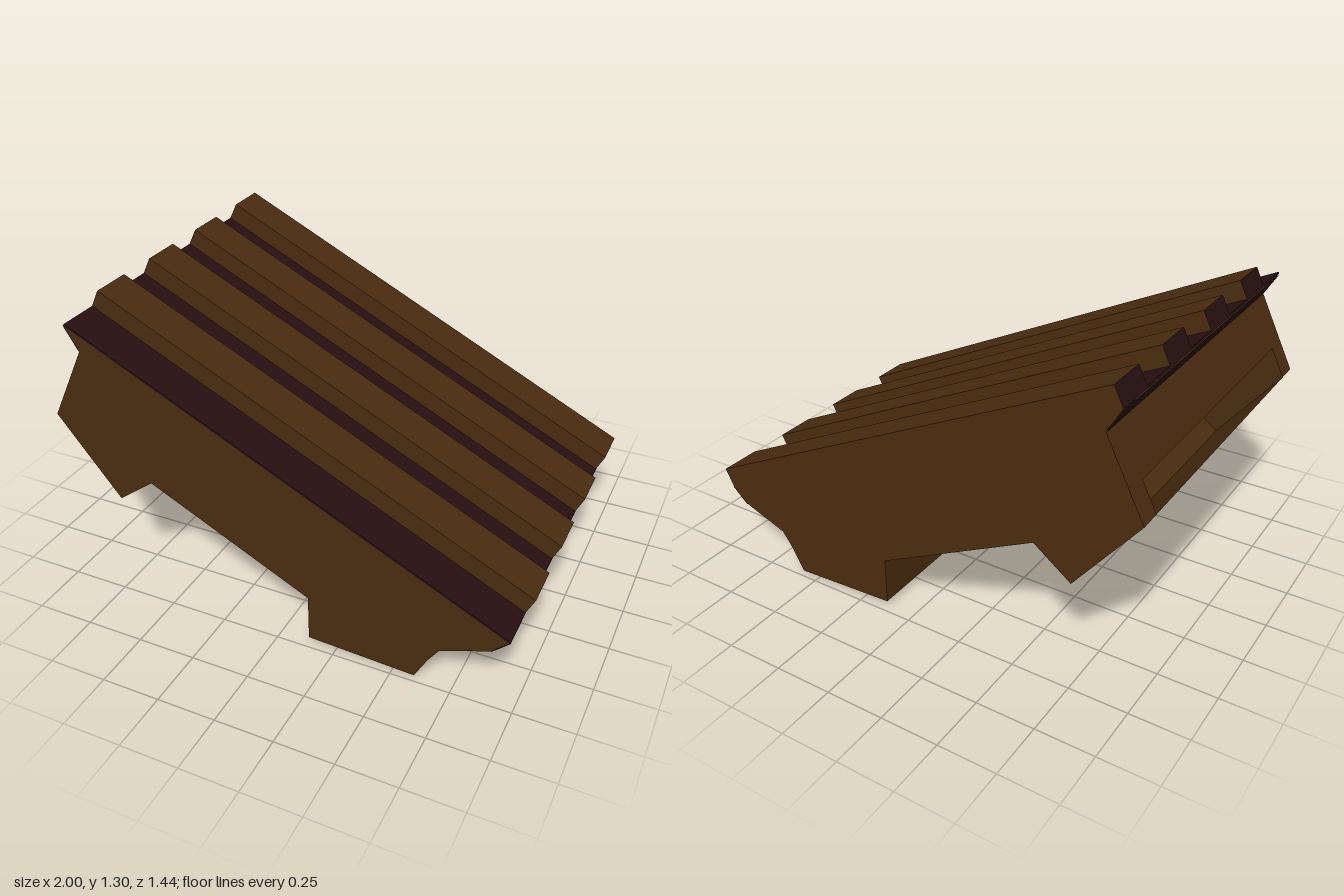
import * as THREE from 'three';

export function createModel() {
  const model = new THREE.Group();
  const brown = new THREE.MeshStandardMaterial({ color: 0x4a2c0f, side: THREE.DoubleSide });
  brown.name = 'brown wood';
  const dark = new THREE.MeshStandardMaterial({ color: 0x260f11, side: THREE.DoubleSide });
  dark.name = 'dark wood';

  const add = (name, geometry, material, parent = model) => {
    const mesh = new THREE.Mesh(geometry, material);
    mesh.name = name;
    parent.add(mesh);
    return mesh;
  };

  const half = 0.72, inner = 0.625;

  // Solid side boards, one at each end of the width
  const profile = [
    [-0.9, 1.22], [-0.84, 1.12], [-1, 0.8], [-0.73, 0.46], [-0.57, 0.58], [0.13, 0.23],
    [0.13, 0.025], [0.59, 0.002], [0.645, 0.105], [0.69, 0.17], [0.89, 0.245], [0.96, 0.31],
  ].map(([x, y]) => new THREE.Vector2(x, y));
  const boardGeometry = new THREE.ExtrudeGeometry(new THREE.Shape(profile), {
    depth: half - inner, bevelEnabled: false,
  });
  add('frontSideBoard', boardGeometry, brown).position.z = inner;
  add('backSideBoard', boardGeometry, brown).position.z = -half;

  // Thin cross panel spanning the width between two profile points
  const panel = (name, [x1, y1], [x2, y2], material, width = inner * 2) => {
    const mesh = add(name, new THREE.PlaneGeometry(Math.hypot(x2 - x1, y2 - y1), width), material);
    mesh.geometry.rotateX(-Math.PI / 2);
    mesh.position.set((x1 + x2) / 2, (y1 + y2) / 2, 0);
    mesh.rotation.z = Math.atan2(y2 - y1, x2 - x1);
  };

  // Panels leave open slots at both ends and under the slope
  panel('upperEndPanel', [-0.94, 0.92], [-0.84, 1.12], brown);
  panel('rearFootOuter', [-0.73, 0.46], [-1, 0.8], brown);
  panel('rearFootInner', [-0.73, 0.46], [-0.57, 0.58], brown);
  panel('footWall', [0.13, 0.23], [0.13, 0.025], brown);
  panel('footBase', [0.13, 0.025], [0.59, 0.002], brown);
  panel('footFront', [0.645, 0.105], [0.69, 0.17], brown);
  panel('lowerFrontPanel', [0.69, 0.17], [0.89, 0.245], brown);
  // Dark lips below both ends of the deck, just proud of the boards
  panel('upperLip', [-0.903, 1.218], [-0.843, 1.118], dark, half * 2);
  panel('lowerLip', [0.892, 0.243], [0.962, 0.308], dark, half * 2);

  // Sloping deck: raised brown slats alternating with thin dark planks
  const deck = new THREE.Group();
  deck.name = 'deck';
  deck.position.set(0.03, 0.765, 0);
  deck.rotation.z = Math.atan2(-0.91, 1.86);
  model.add(deck);
  const length = 2.07, width = 0.18, height = 0.087;
  const slatGeometry = new THREE.BoxGeometry(length, height, width);
  const plankGeometry = new THREE.BoxGeometry(length, 0.008, width);
  for (let i = 0; i < 4; i++) {
    const z = -half + width / 2 + i * width * 2;
    const slat = add('slat', slatGeometry, [dark, dark, brown, brown, brown, brown], deck);
    slat.position.set(0, height / 2, z);
    add('plank', plankGeometry, dark, deck).position.set(0, 0.003, z + width);
  }
  return model;
}
